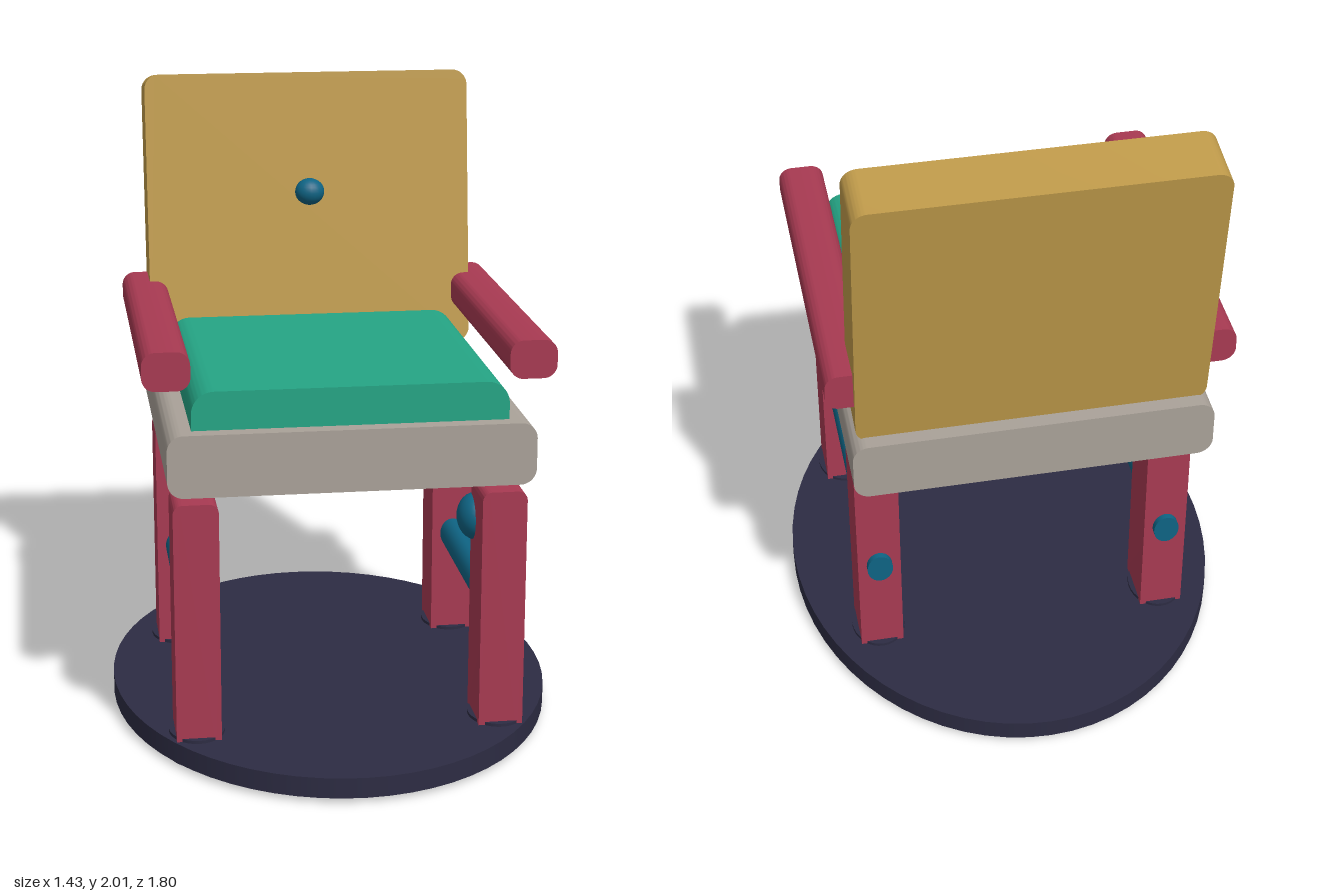
import * as THREE from 'three';
import { toCreasedNormals } from 'three/addons/utils/BufferGeometryUtils.js';

const material = (name, color) => {
  const m = new THREE.MeshStandardMaterial({ color });
  m.name = name;
  return m;
};

// Bar with a rounded cross-section in x/y, running along z, centred on its origin.
function roundedBar(w, h, d, r) {
  const s = new THREE.Shape();
  const x = w / 2, y = h / 2;
  s.moveTo(-x + r, -y);
  s.lineTo(x - r, -y);
  s.absarc(x - r, -y + r, r, -Math.PI / 2, 0);
  s.lineTo(x, y - r);
  s.absarc(x - r, y - r, r, 0, Math.PI / 2);
  s.lineTo(-x + r, y);
  s.absarc(-x + r, y - r, r, Math.PI / 2, Math.PI);
  s.lineTo(-x, -y + r);
  s.absarc(-x + r, -y + r, r, Math.PI, Math.PI * 1.5);
  const g = new THREE.ExtrudeGeometry(s, { depth: d, bevelEnabled: false, curveSegments: 8 });
  g.translate(0, 0, -d / 2);
  return toCreasedNormals(g, 0.6);
}

export function createModel() {
  const chair = new THREE.Group();
  chair.name = 'chair';
  const navy = material('navy', 0x2d2c43);
  const crimson = material('crimson', 0xa83a52);
  const stone = material('stone', 0xaaa299);
  const teal = material('teal', 0x25a585);
  const ochre = material('ochre', 0xbf9a4a);
  const blue = material('blue', 0x0f6484);

  const add = (name, geometry, mat, x, y, z) => {
    const mesh = new THREE.Mesh(geometry, mat);
    mesh.name = name;
    mesh.position.set(x, y, z);
    chair.add(mesh);
    return mesh;
  };

  // Oval base plate
  const disc = new THREE.CylinderGeometry(1, 1, 0.065, 64);
  add('base', disc, navy, 0, 0.0475, 0).scale.set(0.715, 1, 0.9);

  // Seat slab and cushion
  add('seat', roundedBar(1.125, 0.195, 1.22, 0.05), stone, 0, 0.9825, 0);
  add('cushion', roundedBar(0.97, 0.22, 1.01, 0.07), teal, 0, 1.09, 0.055);

  // Leaning backrest with a button
  add('backrest', roundedBar(1.09, 0.925, 0.19, 0.05), ochre, 0, 1.536, -0.5275).rotation.x = -0.135;
  add('button', new THREE.SphereGeometry(0.045, 20, 14), blue, 0, 1.615, -0.422).scale.x = 1.1;

  // Legs, feet, armrests and side rails, mirrored left and right
  const legGeometry = roundedBar(0.14, 0.81, 0.18, 0.03);
  const footGeometry = new THREE.CylinderGeometry(1, 1, 0.09, 32);
  const armGeometry = roundedBar(0.146, 0.12, 1.12, 0.042);
  const railGeometry = new THREE.CylinderGeometry(0.052, 0.052, 0.94, 24).rotateX(Math.PI / 2);
  for (const side of [1, -1]) {
    const label = side > 0 ? 'left' : 'right';
    for (const [end, z] of [['Front', 0.48], ['Rear', -0.355]]) {
      add(`${label}${end}Leg`, legGeometry, crimson, side * 0.476, 0.445, z);
      add(`${label}${end}Foot`, footGeometry, navy, side * 0.477, 0.045, z).scale.set(0.088, 1, 0.111);
    }
    add(`${label}Armrest`, armGeometry, crimson, side * 0.557, 1.265, 0);
    add(`${label}Rail`, railGeometry, blue, side * 0.476, 0.432, 0.005).scale.x = 0.8;
  }

  // Knob on the inner rear corner of the left front leg
  add('knob', new THREE.SphereGeometry(0.075, 24, 16), blue, 0.42, 0.718, 0.395).scale.x = 0.8;

  return chair;
}
